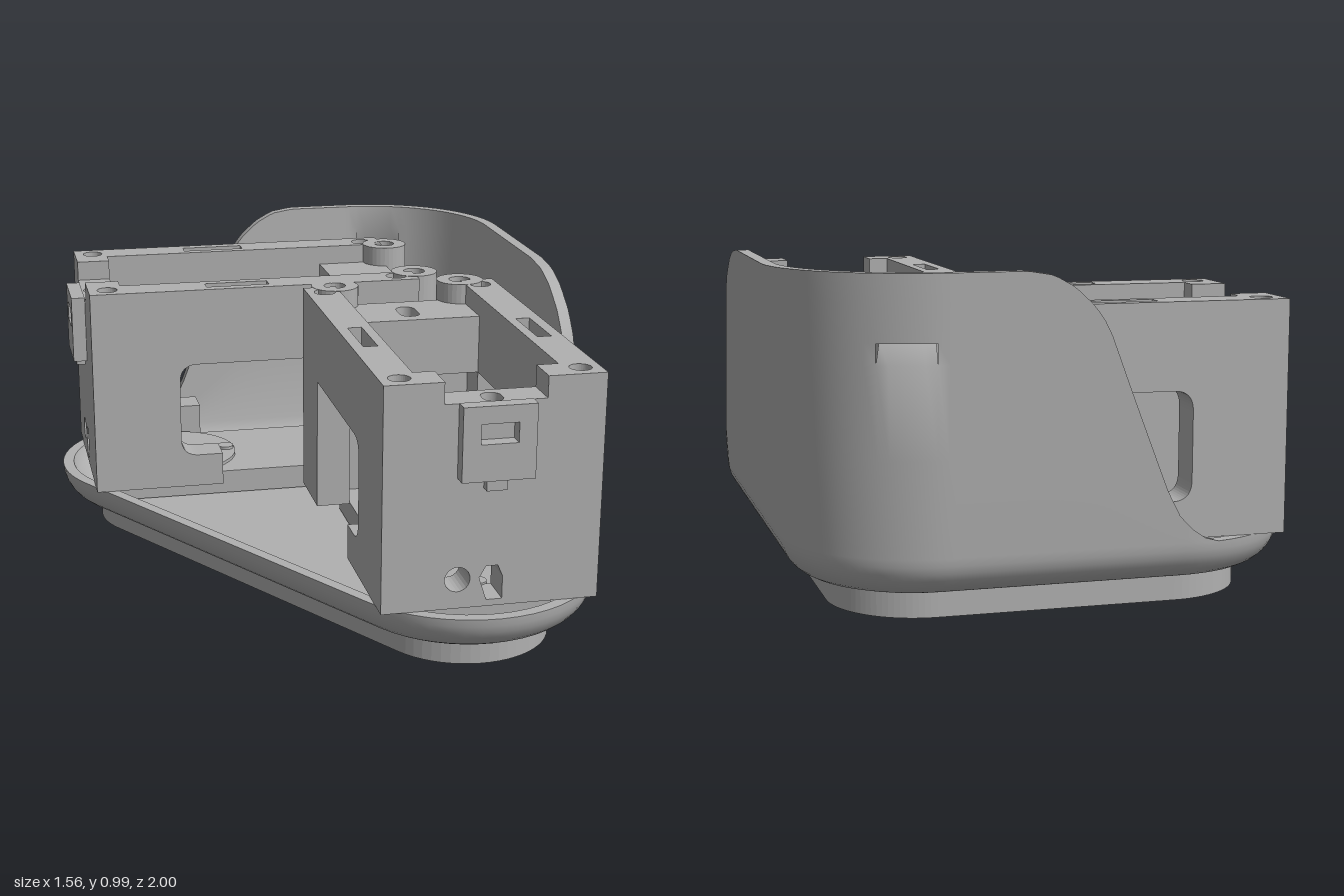
import * as THREE from 'three';
import { toCreasedNormals } from 'three/addons/utils/BufferGeometryUtils.js';

const grey = new THREE.MeshStandardMaterial({ color: 0xb0b0b0 });
grey.name = 'plain grey';

// Corner centres of the rounded triangle with their arc ranges
const HYP = Math.atan2(0.525, -0.851);
const CORNERS = [
  [0.335, -0.56, -Math.PI / 2, 0, 24],
  [0.335, 0.6, 0, HYP, 30],
  [-0.38, -0.56, HYP, Math.PI * 1.5, 8],
];

// Columns around the outline: a spine point and an outward direction
function outlineColumns(arcSteps, edgeSteps) {
  const cols = [];
  CORNERS.forEach(([cx, cz, a0, a1], k) => {
    for (let i = 0; i <= arcSteps; i++) {
      const a = a0 + ((a1 - a0) * i) / arcSteps;
      cols.push([cx, cz, Math.cos(a), Math.sin(a)]);
    }
    const [nx, nz] = CORNERS[(k + 1) % 3];
    for (let i = 1; i < edgeSteps; i++) {
      const t = i / edgeSteps;
      cols.push([cx + (nx - cx) * t, cz + (nz - cz) * t, Math.cos(a1), Math.sin(a1)]);
    }
  });
  return cols;
}

function mesh(parent, name, geometry) {
  const m = new THREE.Mesh(geometry, grey);
  m.name = name;
  parent.add(m);
  return m;
}

// Plan shape (x, z) raised between two heights
function raise(shape, y0, y1) {
  const g = new THREE.ExtrudeGeometry(shape, { depth: y1 - y0, bevelEnabled: false, curveSegments: 16 });
  return g.rotateX(Math.PI / 2).translate(0, y1, 0);
}

const polygon = (pts) => new THREE.Shape(pts.map(([x, y]) => new THREE.Vector2(x, y)));
const rect = (x0, y0, x1, y1) => polygon([[x0, y0], [x1, y0], [x1, y1], [x0, y1]]);
const circle = (x, y, r) => new THREE.Shape().absarc(x, y, r, 0, Math.PI * 2, false);
function oblong(x, y, half, r) {
  const s = new THREE.Shape();
  s.absarc(x + half, y, r, -Math.PI / 2, Math.PI / 2, false);
  s.absarc(x - half, y, r, Math.PI / 2, Math.PI * 1.5, false);
  return s;
}
function pierce(shape, ...holes) {
  shape.holes.push(...holes);
  return shape;
}
const outlineShape = (r) => polygon(outlineColumns(24, 1).map(([x, z, dx, dz]) => [x + dx * r, z + dz * r]));

// Wall height: low along the slanted front, sweeping up to the rear corner
const SWEEP = [[0.17, 0.2], [0.22, 0.225], [0.265, 0.28], [0.3, 0.36], [0.39, 0.63],
  [0.455, 0.83], [0.49, 0.89], [0.54, 0.945], [0.59, 0.978], [0.65, 0.99]];
function wallHeight(x, z) {
  const d = 0.83 * x - 0.56 * z;
  if (d <= SWEEP[0][0]) return 0.2;
  for (let i = 1; i < SWEEP.length; i++) {
    const [d0, y0] = SWEEP[i - 1], [d1, y1] = SWEEP[i];
    if (d < d1) return y0 + ((y1 - y0) * (d - d0)) / (d1 - d0);
  }
  return 0.99;
}

// Shell: outer fillet, drafted wall, rim, inner wall and inner fillet
function shellGeometry() {
  const cols = outlineColumns(20, 36);
  const rows = [];
  for (let i = 0; i <= 8; i++) {
    const a = (i / 8) * Math.PI / 2;
    rows.push(() => [0.28 + 0.12 * Math.sin(a), 0.2 - 0.12 * Math.cos(a)]);
  }
  const wall = (t, inset) => (h) => {
    const y = 0.2 + t * (h - 0.2);
    return [0.4 + 0.055 * (y - 0.2) - inset, y];
  };
  const steps = [0.35, 0.684, 0.76, 0.9, 1];
  steps.forEach((t) => rows.push(wall(t, 0)));
  [...steps].reverse().forEach((t) => rows.push(wall(t, 0.037)));
  rows.push(wall(0, 0.037), () => [0.345, 0.155], () => [0.31, 0.128], () => [0.26, 0.118]);

  const pos = [], index = [], n = cols.length;
  rows.forEach((row) => cols.forEach(([cx, cz, dx, dz]) => {
    const [r, y] = row(wallHeight(cx + dx * 0.42, cz + dz * 0.42));
    pos.push(cx + dx * r, y, cz + dz * r);
  }));
  const quad = (j0, j1, i0, i1) => {
    const a = j0 * n + i0, b = j0 * n + i1, c = j1 * n + i1, d = j1 * n + i0;
    index.push(a, d, c, a, c, b);
  };
  const OUT = 10, IN = 16; // rows at the slot's sill outside and head inside
  for (let j = 0; j < rows.length - 1; j++) {
    for (let i = 0; i < n; i++) {
      const inSlot = i >= 1 && i <= 5;
      if (inSlot && (j === OUT || j === IN - 1)) continue;
      quad(j, j + 1, i, (i + 1) % n);
    }
  }
  // Sill and head of the rear slot
  for (let i = 1; i <= 5; i++) {
    quad(OUT, IN, i, i + 1);
    quad(IN - 1, OUT + 1, i, i + 1);
  }
  const g = new THREE.BufferGeometry();
  g.setAttribute('position', new THREE.Float32BufferAttribute(pos, 3));
  g.setIndex(index);
  return toCreasedNormals(g, 0.6);
}

// Open bracket, running along +x from its outer end and centred on z = 0
function bracket(name) {
  const g = new THREE.Group();
  g.name = name;
  const L = 1.11, W = 0.325, I = 0.215;

  // Floor with a round pad and its screw studs
  mesh(g, 'bracketFloor', new THREE.BoxGeometry(L - 0.16, 0.08, 2 * I)).position.set(L / 2, 0.165, 0);
  mesh(g, 'pad', new THREE.CylinderGeometry(0.212, 0.212, 0.012, 48)).position.set(0.31, 0.21, 0);
  for (let k = 0; k < 4; k++) {
    const a = (k * Math.PI) / 2;
    mesh(g, 'padStud', new THREE.CylinderGeometry(0.028, 0.028, 0.012, 16))
      .position.set(0.31 + 0.18 * Math.cos(a), 0.22, 0.18 * Math.sin(a));
  }

  // Side walls below the window head, with rounded window corners
  const side = new THREE.Shape();
  side.moveTo(0, 0.2);
  side.lineTo(0.43, 0.2);
  side.lineTo(0.43, 0.31);
  side.lineTo(0.35, 0.31);
  side.quadraticCurveTo(0.29, 0.31, 0.29, 0.37);
  side.lineTo(0.29, 0.57);
  side.quadraticCurveTo(0.29, 0.63, 0.35, 0.63);
  side.lineTo(0, 0.63);
  for (const z of [-W, I]) {
    mesh(g, 'sideWall', new THREE.ExtrudeGeometry(side, { depth: W - I, bevelEnabled: false }).translate(0, 0, z));
    mesh(g, 'innerPost', new THREE.BoxGeometry(0.23, 0.43, W - I)).position.set(0.995, 0.415, z + (W - I) / 2);
  }
  mesh(g, 'innerEndWall', new THREE.BoxGeometry(0.11, 0.43, 2 * I)).position.set(1.055, 0.415, 0);

  // Outer end wall with cable holes
  const end = pierce(rect(-I, 0.2, I, 0.63), circle(0.1, 0.29, 0.038),
    polygon([[-0.035, 0.22], [0.012, 0.22], [0.035, 0.29], [0.015, 0.325], [-0.02, 0.325], [-0.035, 0.29]]));
  const across = (shape, depth) => new THREE.ExtrudeGeometry(shape, { depth, bevelEnabled: false }).rotateY(Math.PI / 2);
  mesh(g, 'outerEndWall', across(end, 0.11));

  // Upper frame with cavity, cable slots and screw holes
  const slots = [-1, 1].map((s) => rect(0.39, s * 0.268 - 0.022, 0.6, s * 0.268 + 0.022));
  const screws = [-1, 1].flatMap((s) => [circle(0.063, s * 0.265, 0.033), circle(1.045, s * 0.265, 0.035)]);
  const frame = pierce(rect(0, -W, L, W), rect(0.11, -I, 0.88, I),
    oblong(0.985, 0, 0.028, 0.032), oblong(0.045, 0, 0.01, 0.03), ...slots, ...screws);
  mesh(g, 'upperFrame', raise(frame, 0.63, 0.82));

  // Top rails, stepping inwards at the outer corners
  [-1, 1].forEach((s, k) => {
    const rail = polygon([[0, s * W], [L, s * W], [L, s * I], [0.11, s * I], [0.11, s * 0.15], [0, s * 0.15]]);
    pierce(rail, slots[k], screws[2 * k], screws[2 * k + 1]);
    mesh(g, 'topRail', raise(rail, 0.82, 0.885));
    const boss = pierce(circle(1.12, s * I, 0.078), circle(1.12, s * I, 0.036));
    mesh(g, 'screwBoss', raise(boss, 0.6, 0.886));
  });

  // Tab on the outer end with a rectangular socket
  const tab = pierce(rect(-0.108, 0.6, 0.108, 0.822), rect(-0.055, 0.71, 0.055, 0.77));
  mesh(g, 'endTab', across(tab, 0.045).translate(-0.045, 0, 0));
  mesh(g, 'tabPeg', new THREE.BoxGeometry(0.03, 0.035, 0.06)).position.set(-0.015, 0.583, 0);
  return g;
}

export function createModel() {
  const model = new THREE.Group();
  model.name = 'twinBracketHousing';

  // Plinth with two blind holes under the acute corners
  const plinth = pierce(outlineShape(0.27), circle(0.335, 0.6, 0.085), circle(-0.38, -0.56, 0.085));
  mesh(model, 'plinth', raise(plinth, 0, 0.08));
  mesh(model, 'shellFloor', raise(outlineShape(0.28), 0.08, 0.12));
  mesh(model, 'shell', shellGeometry());

  // Two equal brackets at right angles
  const rear = bracket('rearBracket');
  rear.position.set(-0.69, 0, -0.575);
  const front = bracket('frontBracket');
  front.position.set(0.335, 0, 0.905);
  front.rotation.y = Math.PI / 2;
  model.add(rear, front);
  return model;
}
